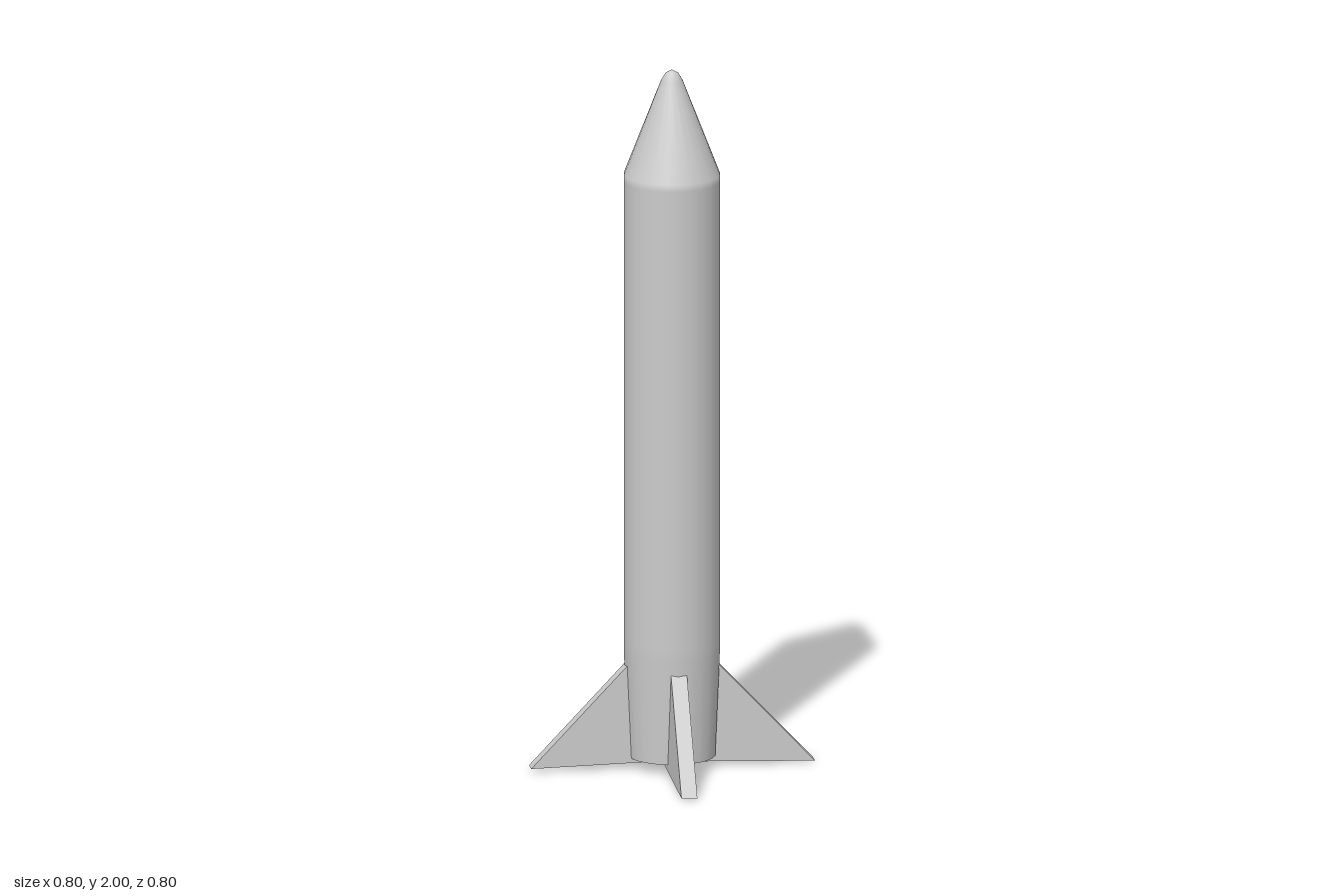
import * as THREE from 'three';

const material = new THREE.MeshStandardMaterial({ color: 0xcccccc });

function addMesh(parent, geometry, name) {
  const mesh = new THREE.Mesh(geometry, material);
  mesh.name = name;
  parent.add(mesh);
  return mesh;
}

export function createModel() {
  const model = new THREE.Group();
  model.name = 'rocket';
  const sides = 24;

  // Hull: slightly tapered tail, straight tube and blunt nose cone
  const profile = [
    [0.122, 0.03], [0.135, 0.33], [0.135, 0.36], [0.135, 1.68],
    [0.135, 1.7], [0.03, 1.97], [0.018, 1.99], [0, 2],
  ].map(([r, y]) => new THREE.Vector2(r, y));
  addMesh(model, new THREE.LatheGeometry(profile, sides), 'hull');

  // Flat tail plate closing the hull
  const plate = new THREE.CircleGeometry(0.122, sides).rotateX(Math.PI / 2);
  addMesh(model, plate, 'tailPlate').position.y = 0.03;

  // Fin: swept triangular plate running into the hull
  const thickness = 0.045;
  const outline = new THREE.Shape([
    [0.04, 0.016], [0.4, 0.006], [0.13, 0.292], [0.04, 0.33],
  ].map(([x, y]) => new THREE.Vector2(x, y)));
  const finGeometry = new THREE.ExtrudeGeometry(outline, { depth: thickness, bevelEnabled: false });
  finGeometry.translate(0, 0, -thickness / 2);

  // Four fins, each with its own small sideways shift, lean and height offset
  const fins = [
    { name: 'leftFin', turn: 0, shift: 0, lean: 0, lift: -0.002 },
    { name: 'backFin', turn: Math.PI / 2, shift: -0.008, lean: 0.032, lift: -0.006 },
    { name: 'rightFin', turn: Math.PI, shift: -0.007, lean: 0, lift: 0.003 },
    { name: 'frontFin', turn: -Math.PI / 2, shift: 0.006, lean: -0.028, lift: -0.003 },
  ];
  for (const { name, turn, shift, lean, lift } of fins) {
    const pivot = new THREE.Group();
    pivot.name = name;
    pivot.rotation.y = turn;
    const fin = addMesh(pivot, finGeometry, name + 'Plate');
    fin.position.set(0, lift, shift);
    fin.rotation.x = lean;
    model.add(pivot);
  }
  return model;
}
